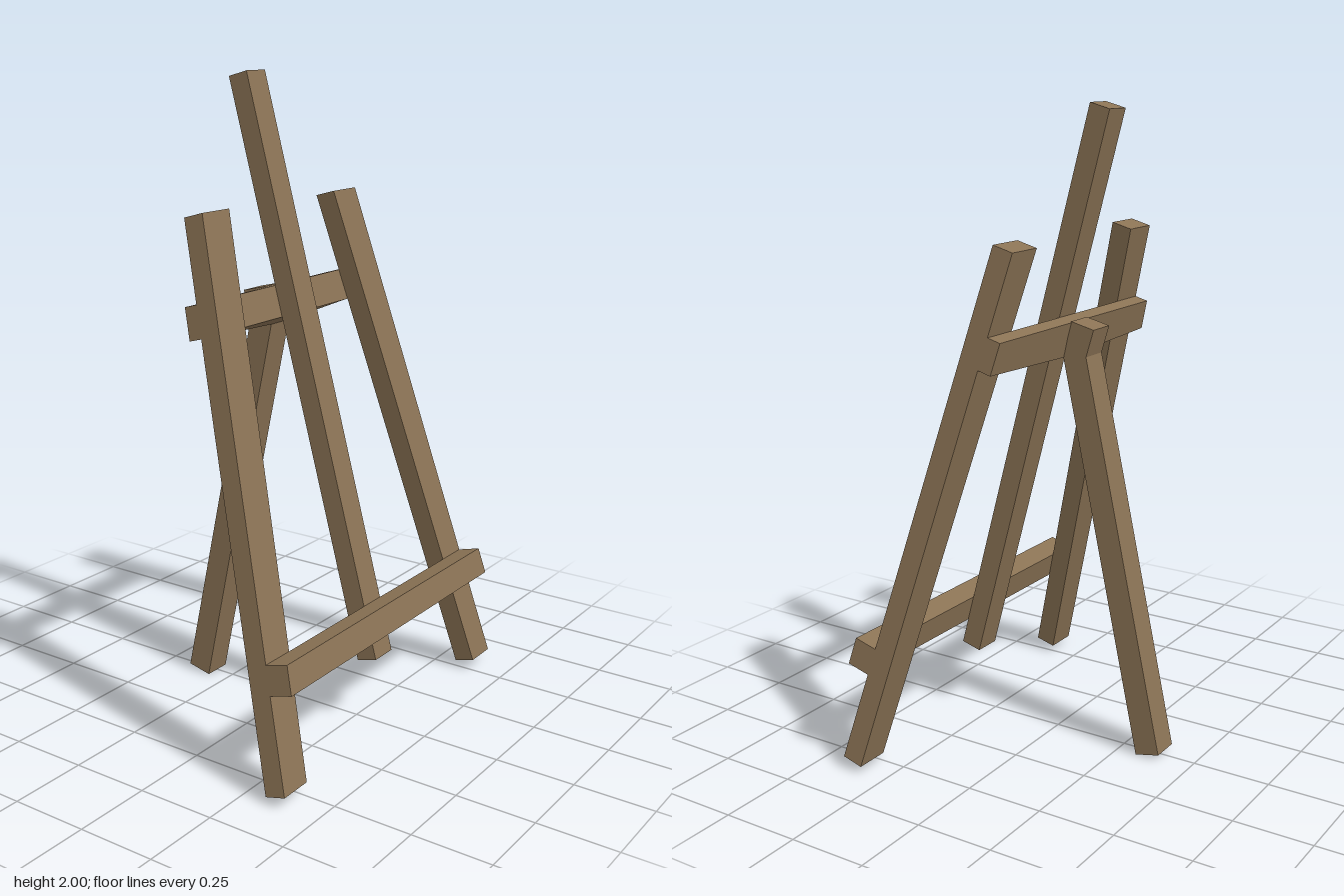
import * as THREE from 'three';

const wood = new THREE.MeshStandardMaterial({ color: 0x8b7355, flatShading: true });

// Flat board: outline points extruded from depth z0 to z1
function board(points, z0, z1) {
  const shape = new THREE.Shape(points.map(([x, y]) => new THREE.Vector2(x, y)));
  const geo = new THREE.ExtrudeGeometry(shape, { depth: z1 - z0, bevelEnabled: false });
  return geo.translate(0, 0, z0);
}

function addPart(parent, name, geo) {
  const mesh = new THREE.Mesh(geo, wood);
  mesh.name = name;
  parent.add(mesh);
}

// Outer edge of the splayed legs at height v along the frame
const LEG_LENGTH = 1.64;
const outerX = v => THREE.MathUtils.lerp(0.603, 0.392, v / LEG_LENGTH);

export function createModel() {
  const easel = new THREE.Group();
  easel.name = 'easel';

  // Front frame leans back; local z = 0 is the front face of the legs
  const frame = new THREE.Group();
  frame.name = 'frontFrame';
  frame.position.set(0, 0.04, 0.4);
  frame.rotation.x = -0.267;
  easel.add(frame);
  const thick = 0.068, half = 0.046;

  // Splayed side legs
  for (const side of [1, -1]) {
    const outline = [[0.494, 0], [outerX(0), 0], [outerX(LEG_LENGTH), LEG_LENGTH], [0.269, LEG_LENGTH]];
    addPart(frame, side > 0 ? 'leftLeg' : 'rightLeg',
      board(outline.map(([x, y]) => [side * x, y]), -thick, 0));
  }

  // Centre post
  addPart(frame, 'centrePost',
    board([[-half, 0.2], [half, 0.2], [half, 2.032], [-half, 2.032]], -thick, 0));

  // Ledge in front of the legs, ends flush with them
  const [l0, l1] = [0.286, 0.373];
  addPart(frame, 'ledge',
    board([[-outerX(l0), l0], [outerX(l0), l0], [outerX(l1), l1], [-outerX(l1), l1]], 0, 0.076));

  // Crossbar behind the legs; its rear lower edge dips towards the rear leg
  const [b0, b1] = [1.295, 1.393], back = -0.112;
  const bar = board([[-outerX(b0), b0], [-half, b0], [half, b0], [outerX(b0), b0],
    [outerX(b1), b1], [-outerX(b1), b1]], back, -thick);
  const pos = bar.attributes.position;
  for (let i = 0; i < pos.count; i++) {
    const middle = Math.abs(pos.getX(i)) < 0.1;
    if (middle && pos.getZ(i) < back + 0.001) pos.setY(i, 1.279);
  }
  bar.computeVertexNormals();
  addPart(frame, 'crossbar', bar);

  // Rear leg with its bent top, drawn as a side profile of [-z, y]
  const rear = board([[0.317, 0], [0.397, 0.018], [0.127, 1.254], [0.153, 1.339],
    [0.074, 1.358], [0.048, 1.243]], -half, half);
  addPart(easel, 'rearLeg', rear.rotateY(Math.PI / 2));

  return easel;
}
